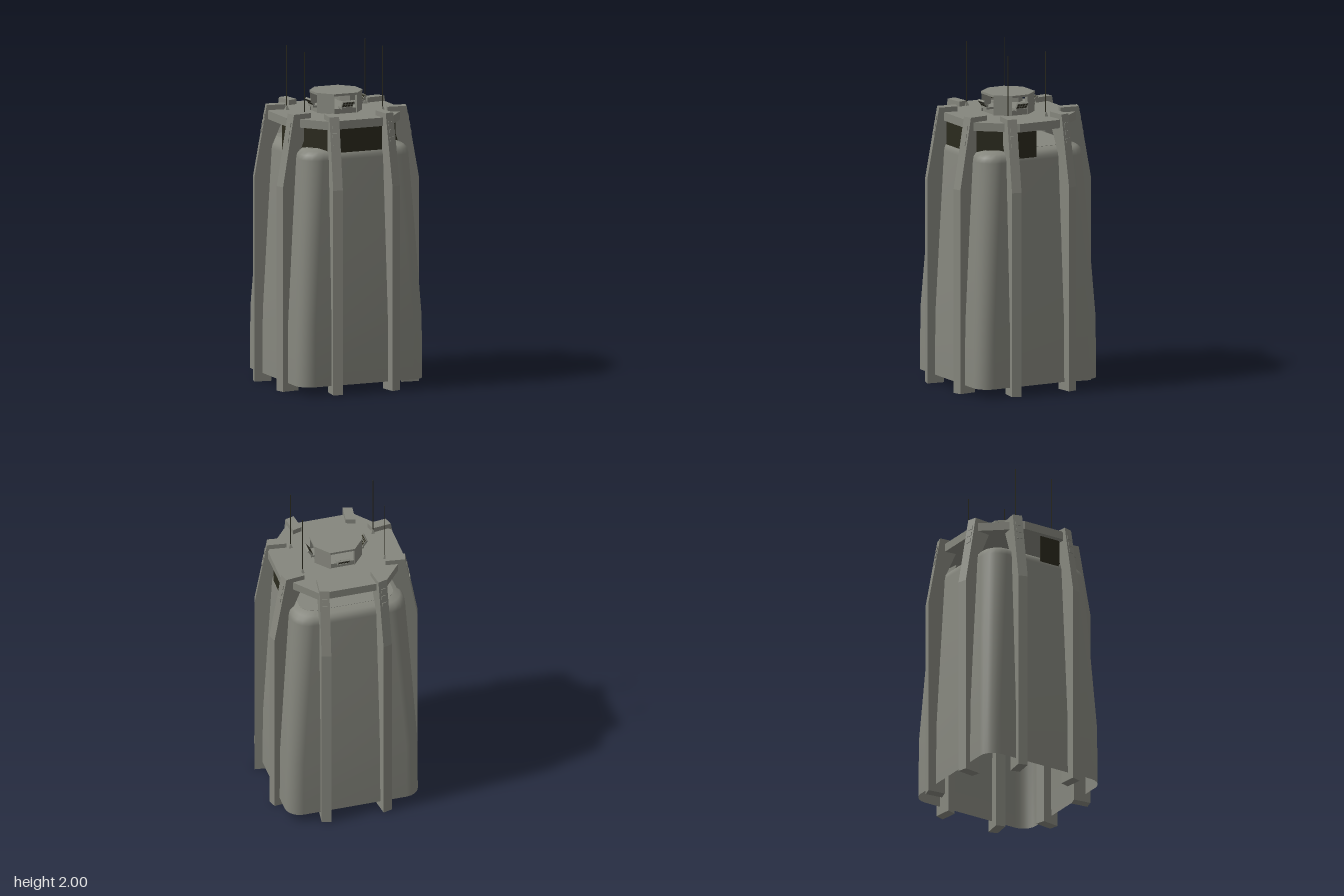
import * as THREE from 'three';

const hull = new THREE.MeshStandardMaterial({ color: 0x85867d, side: THREE.DoubleSide });
hull.name = 'hullGrey';
const dark = new THREE.MeshStandardMaterial({ color: 0x2b2a1e, side: THREE.DoubleSide });
dark.name = 'darkGlass';

function add(parent, name, geometry, material = hull) {
  const mesh = new THREE.Mesh(geometry, material);
  mesh.name = name;
  parent.add(mesh);
  return mesh;
}

// flat plan outline (x, z) raised between two heights
function prism(points, y0, y1) {
  const shape = new THREE.Shape(points.map(([x, z]) => new THREE.Vector2(x, -z)));
  const g = new THREE.ExtrudeGeometry(shape, { depth: y1 - y0, bevelEnabled: false });
  return g.rotateX(-Math.PI / 2).translate(0, y0, 0);
}

const octagon = (ax, az, bx, bz) => [
  [ax, az], [bx, bz], [bx, -bz], [ax, -az], [-ax, -az], [-bx, -bz], [-bx, bz], [-ax, az],
];

// rounded square ring
function ring(half, radius) {
  const pts = [];
  for (let q = 0; q < 4; q++) {
    const mid = (q + 0.5) * Math.PI / 2;
    const cx = Math.sign(Math.cos(mid)) * (half - radius);
    const cz = Math.sign(Math.sin(mid)) * (half - radius);
    for (let k = 0; k <= 5; k++) {
      const a = (q + k / 5) * Math.PI / 2;
      pts.push([cx + radius * Math.cos(a), cz + radius * Math.sin(a)]);
    }
  }
  return pts;
}

// tapering shell, open at the bottom
function shell(levels) {
  const pos = [], index = [];
  let n = 0;
  levels.forEach(([y, half, radius], i) => {
    const pts = ring(half, radius);
    n = pts.length;
    pts.forEach(([x, z]) => pos.push(x, y, z));
    if (i === 0) return;
    for (let j = 0; j < n; j++) {
      const a = (i - 1) * n + j, b = (i - 1) * n + (j + 1) % n;
      index.push(a, a + n, b, b, a + n, b + n);
    }
  });
  const g = new THREE.BufferGeometry();
  g.setAttribute('position', new THREE.Float32BufferAttribute(pos, 3));
  g.setIndex(index);
  g.computeVertexNormals();
  return g;
}

// side profile (distance out, height) placed as a skewed rib in one octant
function ribPart(profile, width, sx, sz, swap) {
  const shape = new THREE.Shape(profile.map(([r, y]) => new THREE.Vector2(r, y)));
  const g = new THREE.ExtrudeGeometry(shape, { depth: 1, bevelEnabled: false });
  const p = g.attributes.position;
  const flip = sx * sz * (swap ? 1 : -1);
  for (let i = 0; i < p.count; i++) {
    const r = p.getX(i), w = (p.getZ(i) - 0.5) * width * flip;
    const across = 0.163 + 0.13 * (r - 0.26) + 0.055 * w;
    const out = r - 0.016 * w;
    p.setXYZ(i, sx * (swap ? out : across), p.getY(i), sz * (swap ? across : out));
  }
  g.computeVertexNormals();
  return g;
}

export function createModel() {
  const model = new THREE.Group();
  model.name = 'tower';

  // main body
  add(model, 'bodyShell', shell([
    [0.05, 0.405, 0.09], [0.42, 0.402, 0.09], [0.9, 0.376, 0.1], [1.385, 0.348, 0.11],
    [1.415, 0.342, 0.11], [1.435, 0.322, 0.1], [1.447, 0.285, 0.08],
  ]));
  add(model, 'bodyTop', prism(ring(0.286, 0.08), 1.443, 1.448));

  // eight ribs with vent plates on the sloping shoulder
  const ribProfile = [
    [0.34, 0], [0.445, 0], [0.445, 1.22], [0.37, 1.645], [0.255, 1.645],
    [0.255, 1.6], [0.27, 1.56], [0.33, 1.42], [0.34, 1.2],
  ];
  const slope = y => 0.445 - (y - 1.22) * 0.075 / 0.425;
  for (const sx of [1, -1]) for (const sz of [1, -1]) for (const swap of [false, true]) {
    const rib = new THREE.Group();
    rib.name = 'rib';
    model.add(rib);
    add(rib, 'ribBeam', ribPart(ribProfile, 1, sx, sz, swap));
    for (const y of [1.48, 1.525, 1.57]) {
      const t = y + 0.025;
      add(rib, 'ribVent', ribPart([
        [slope(y), y], [slope(y) + 0.004, y], [slope(t) + 0.004, t], [slope(t), t],
      ], 0.55, sx, sz, swap));
    }
  }

  // roof slab
  add(model, 'roof', prism(octagon(0.2, 0.347, 0.378, 0.13), 1.565, 1.615));

  // wrap-around screen on the front half
  const screen = [[-0.345, 0], [-0.345, 0.125], [-0.19, 0.332], [0.19, 0.332], [0.345, 0.125], [0.345, 0]];
  for (let i = 0; i < screen.length - 1; i++) {
    const [x0, z0] = screen[i], [x1, z1] = screen[i + 1];
    const pane = add(model, 'screenPane',
      new THREE.BoxGeometry(Math.hypot(x1 - x0, z1 - z0), 0.165, 0.004), dark);
    pane.position.set((x0 + x1) / 2, 1.4835, (z0 + z1) / 2);
    pane.rotation.y = -Math.atan2(z1 - z0, x1 - x0);
  }

  // open turret: base, corner walls and lid
  const turret = new THREE.Group();
  turret.name = 'turret';
  model.add(turret);
  add(turret, 'turretBase', prism(octagon(0.07, 0.13, 0.138, 0.048), 1.612, 1.645));
  add(turret, 'turretLid', prism(octagon(0.075, 0.14, 0.148, 0.052), 1.722, 1.735));
  for (const sx of [1, -1]) for (const sz of [1, -1]) {
    const wall = [[0.072, 0.138], [0.145, 0.052], [0.115, 0.052], [0.072, 0.11]];
    add(turret, 'turretWall', prism(wall.map(([x, z]) => [x * sx, z * sz]), 1.612, 1.724));
  }

  // four tilted lamps around the turret
  for (let i = 0; i < 4; i++) {
    const lamp = new THREE.Group();
    lamp.name = 'lamp';
    lamp.rotation.y = i * Math.PI / 2;
    turret.add(lamp);
    add(lamp, 'lampArm', new THREE.BoxGeometry(0.068, 0.012, 0.06)).position.set(0, 1.651, 0.132);
    const head = new THREE.Group();
    head.name = 'lampHead';
    head.position.set(0, 1.678, 0.167);
    head.rotation.x = 0.65;
    lamp.add(head);
    add(head, 'lampBox', new THREE.BoxGeometry(0.072, 0.042, 0.012));
    for (const side of [1, -1]) for (let c = 0; c < 4; c++) for (const row of [1, -1]) {
      add(head, 'lampCell', new THREE.BoxGeometry(0.013, 0.015, 0.002), dark)
        .position.set((c - 1.5) * 0.0172, row * 0.0098, side * 0.006);
    }
  }

  // antennas on small feet
  for (const x of [-0.263, 0.24]) for (const z of [-0.12, 0.133]) {
    const foot = new THREE.CylinderGeometry(0.005, 0.017, 0.025, 4).rotateY(Math.PI / 4).toNonIndexed();
    foot.computeVertexNormals();
    add(model, 'antennaFoot', foot).position.set(x, 1.6265, z);
    add(model, 'antenna', new THREE.CylinderGeometry(0.003, 0.003, 0.37, 6), dark).position.set(x, 1.815, z);
  }

  return model;
}
